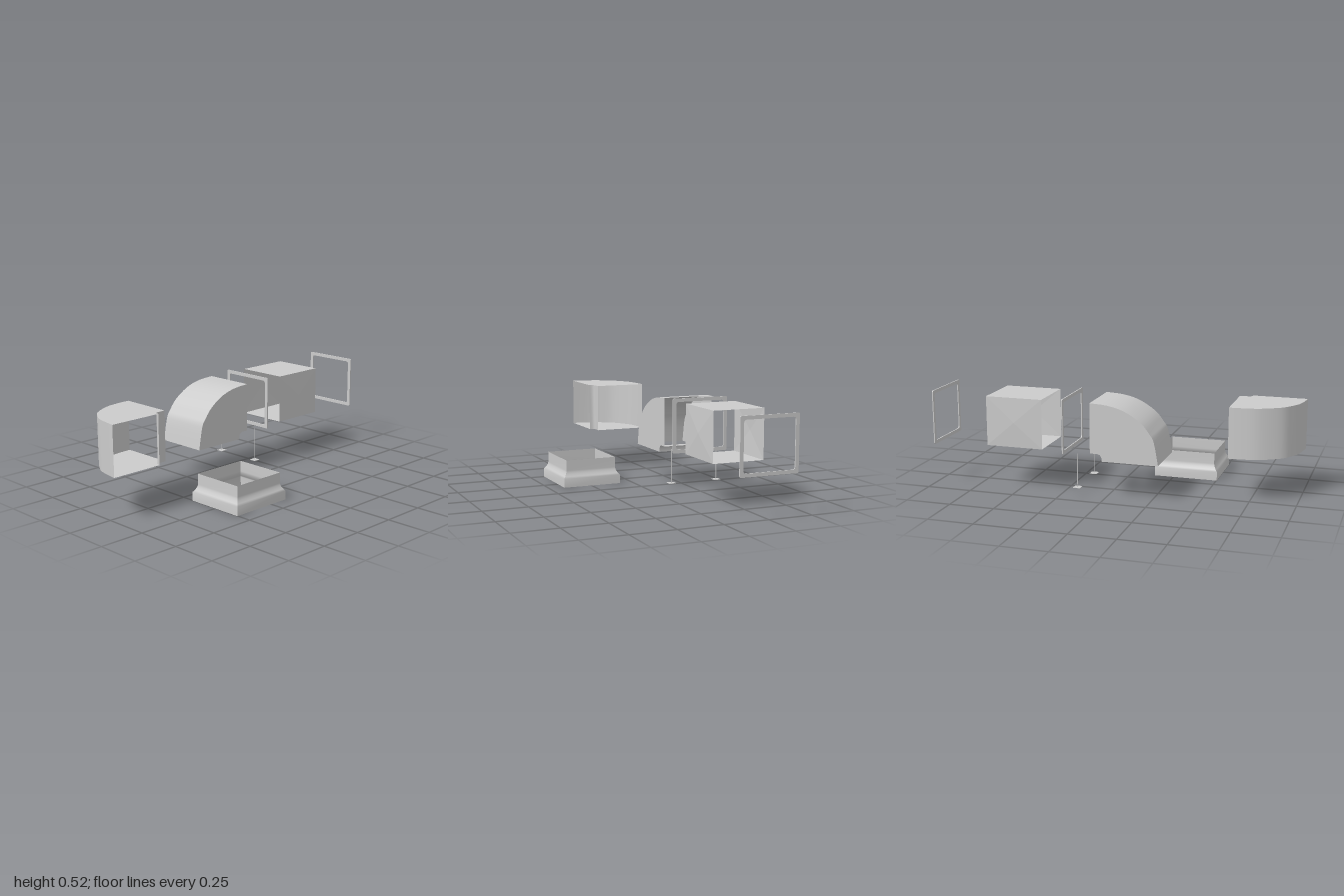
import * as THREE from 'three';

const material = new THREE.MeshStandardMaterial({ color: 0xcccccc, side: THREE.DoubleSide });
const creased = material.clone();
creased.flatShading = true;

function add(parent, name, geometry, mat = material) {
  const mesh = new THREE.Mesh(geometry, mat);
  mesh.name = name;
  parent.add(mesh);
  return mesh;
}

const toPoints = (list) => list.map(([x, y]) => new THREE.Vector2(x, y));

// Sheet wall following a 2D path, extended along z
function wall(points, depth) {
  const geometry = new THREE.PlaneGeometry(1, 1, points.length - 1, 1);
  const position = geometry.attributes.position;
  for (let i = 0; i < position.count; i++) {
    const p = points[i % points.length];
    position.setXYZ(i, p.x, p.y, i < points.length ? depth / 2 : -depth / 2);
  }
  geometry.computeVertexNormals();
  return geometry;
}

// Open elbow: curved back wall, small throat wall and two flat cheeks
function elbow(name, outer, inner, depth) {
  const group = new THREE.Group();
  group.name = name;
  const back = new THREE.SplineCurve(toPoints(outer)).getPoints(18);
  const throat = toPoints(inner);
  add(group, 'backWall', wall(back, depth));
  add(group, 'throatWall', wall(throat, depth));
  for (const side of [-1, 1]) {
    const cheek = new THREE.ShapeGeometry(new THREE.Shape([...back, ...throat]));
    if (side < 0) cheek.scale(1, 1, -1);
    add(group, 'cheek', cheek).position.z = side * depth / 2;
  }
  return group;
}

function roundedRect(path, w, h, r) {
  const x = w / 2, y = h / 2;
  path.moveTo(-x + r, -y);
  path.lineTo(x - r, -y);
  path.quadraticCurveTo(x, -y, x, -y + r);
  path.lineTo(x, y - r);
  path.quadraticCurveTo(x, y, x - r, y);
  path.lineTo(-x + r, y);
  path.quadraticCurveTo(-x, y, -x, y - r);
  path.lineTo(-x, -y + r);
  path.quadraticCurveTo(-x, -y, -x + r, -y);
  return path;
}

export function createModel() {
  const model = new THREE.Group();
  model.name = 'ductParts';

  // Horizontal elbow, drawn in plan and laid flat
  const flat = elbow('horizontalElbow',
    [[-1, -0.045], [-0.98, 0.077], [-0.947, 0.142], [-0.9, 0.202], [-0.8, 0.259], [-0.717, 0.276], [-0.635, 0.281]],
    [[-0.635, -0.016], [-0.682, -0.016], [-0.694, -0.02], [-0.701, -0.03], [-0.703, -0.045]], 0.275);
  flat.rotation.x = -Math.PI / 2;
  flat.position.y = 0.3745;
  model.add(flat);

  // Vertical elbow
  const upright = elbow('verticalElbow',
    [[-0.288, 0.197], [-0.264, 0.323], [-0.237, 0.37], [-0.19, 0.425], [-0.1, 0.48], [-0.007, 0.505], [0.09, 0.512]],
    [[0.09, 0.237], [0.047, 0.237], [0.034, 0.232], [0.026, 0.22], [0.024, 0.197]], 0.296);
  upright.position.z = -0.249;
  model.add(upright);

  // Straight duct: plain top and bottom, cross-broken sides
  const duct = new THREE.Group();
  duct.name = 'straightDuct';
  duct.position.set(0.5235, 0.3745, -0.249);
  const length = 0.321, height = 0.275, width = 0.296, bulge = 0.007;
  for (const side of [-1, 1]) {
    const sheet = new THREE.PlaneGeometry(length, width).rotateX(-side * Math.PI / 2);
    add(duct, side > 0 ? 'ductTop' : 'ductBottom', sheet).position.y = side * height / 2;
    const pyramid = new THREE.ConeGeometry(Math.SQRT1_2, 1, 4, 1, true)
      .rotateY(Math.PI / 4).translate(0, 0.5, 0)
      .scale(length, bulge, height).rotateX(side * Math.PI / 2);
    add(duct, 'ductSide', pyramid, creased).position.z = side * width / 2;
  }
  model.add(duct);

  // Flange frames at both ends of the straight duct
  const frameShape = roundedRect(new THREE.Shape(), 0.332, 0.303, 0.008);
  frameShape.holes.push(roundedRect(new THREE.Path(), 0.292, 0.265, 0.015));
  for (const x of [0.24, 0.997]) {
    const frame = new THREE.ExtrudeGeometry(frameShape, { depth: 0.006, bevelEnabled: false, curveSegments: 5 });
    frame.translate(0, 0, -0.003).rotateY(Math.PI / 2);
    add(model, 'flangeFrame', frame).position.set(x, 0.3735, -0.248);
  }

  // Base collar: upright band, coved shoulder and neck, open top and bottom
  const collar = new THREE.Group();
  collar.name = 'baseCollar';
  collar.position.set(-0.3215, 0, 0.2455);
  const profile = [[0, 0], [0, 0.05], [0.008, 0.06], [0.015, 0.072], [0.0195, 0.083], [0.021, 0.093], [0.021, 0.152]];
  const halfX = 0.1815, halfZ = 0.1695;
  for (let k = 0; k < 4; k++) {
    const [out, along] = k % 2 ? [halfX, halfZ] : [halfZ, halfX];
    const geometry = new THREE.PlaneGeometry(1, 1, 1, profile.length - 1);
    const position = geometry.attributes.position;
    for (let i = 0; i < position.count; i++) {
      const [inset, y] = profile[profile.length - 1 - Math.floor(i / 2)];
      position.setXYZ(i, (i % 2 ? 1 : -1) * (along - inset), y, out - inset);
    }
    geometry.computeVertexNormals();
    add(collar, 'collarSide', geometry).rotation.y = k * Math.PI / 2;
  }
  model.add(collar);

  // Hanger rods with square foot plates
  for (const z of [-0.111, -0.391]) {
    const hanger = new THREE.Group();
    hanger.name = 'hanger';
    hanger.position.set(0.163, 0.042, z);
    add(hanger, 'rod', new THREE.CylinderGeometry(0.0024, 0.0024, 0.188, 8)).position.y = 0.094;
    add(hanger, 'footPlate', new THREE.BoxGeometry(0.041, 0.002, 0.041));
    model.add(hanger);
  }

  return model;
}
